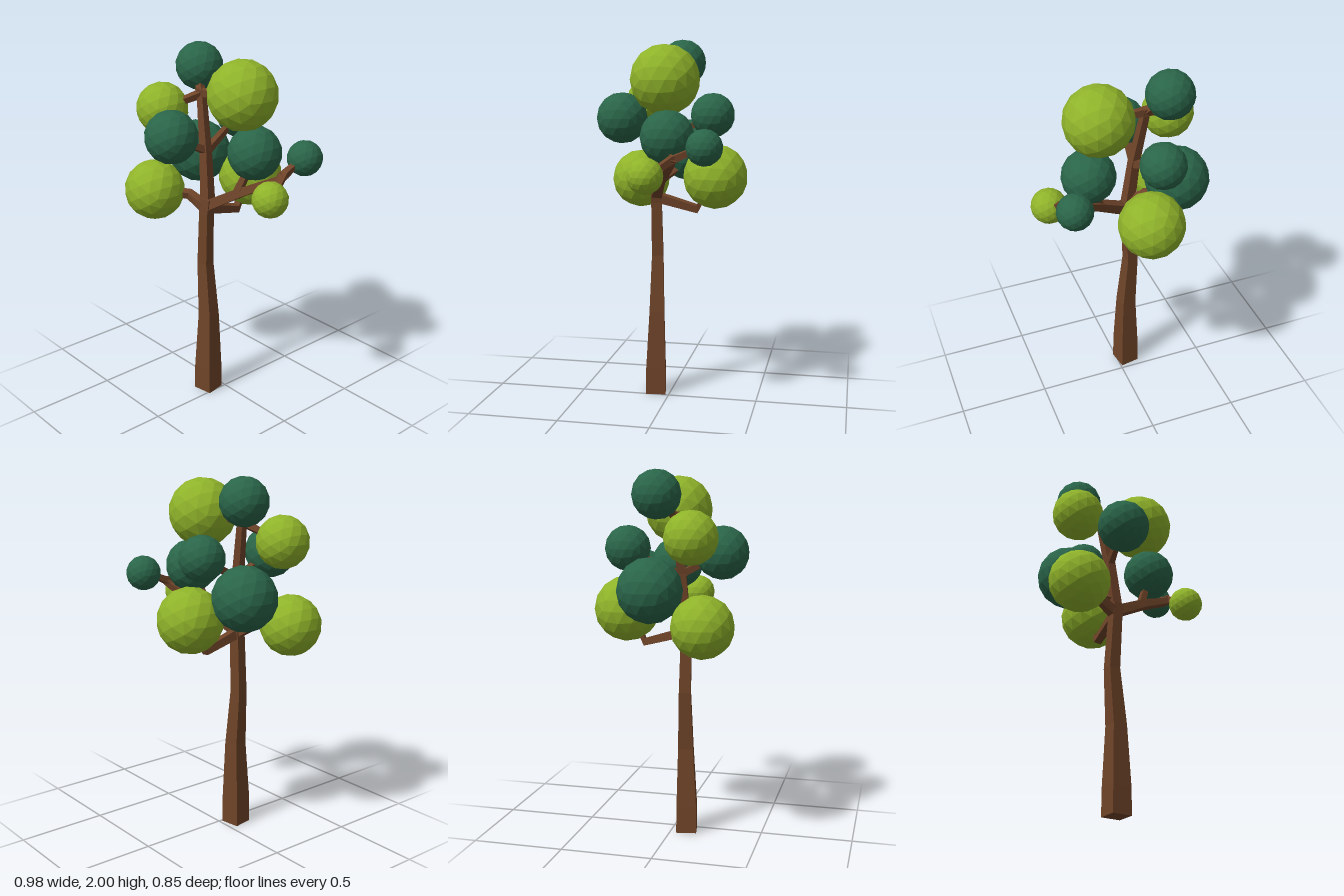
import * as THREE from 'three';

const bark = new THREE.MeshStandardMaterial({ color: 0x6f4429, flatShading: true });
const lime = new THREE.MeshStandardMaterial({ color: 0x8fb32a, flatShading: true });
const pine = new THREE.MeshStandardMaterial({ color: 0x2a6549, flatShading: true });
const UP = new THREE.Vector3(0, 1, 0);

// Square-section limb swept through rows of [x, y, z, radius]
function limb(name, rows, upright = false) {
  const n = rows.length - 1;
  const pts = rows.map(([x, y, z]) => new THREE.Vector3(x, y, z));
  const turns = pts.map((p, i) => {
    const t = pts[Math.min(i + 1, n)].clone().sub(pts[Math.max(i - 1, 0)]).normalize();
    return new THREE.Quaternion().setFromUnitVectors(UP, upright ? UP : t);
  });
  const geo = new THREE.CylinderGeometry(1, 1, 1, 4, n).rotateY(THREE.MathUtils.degToRad(55));
  const pos = geo.attributes.position;
  const v = new THREE.Vector3();
  for (let k = 0; k < pos.count; k++) {
    const i = Math.round((pos.getY(k) + 0.5) * n);
    v.set(pos.getX(k), 0, pos.getZ(k)).multiplyScalar(rows[i][3]);
    v.applyQuaternion(turns[i]).add(pts[i]);
    pos.setXYZ(k, v.x, v.y, v.z);
  }
  const flat = geo.toNonIndexed();
  flat.computeVertexNormals();
  const mesh = new THREE.Mesh(flat, bark);
  mesh.name = name;
  return mesh;
}

// Faceted ball of leaves
function foliage(name, material, x, y, z, r) {
  const mesh = new THREE.Mesh(new THREE.IcosahedronGeometry(r, 2), material);
  mesh.position.set(x, y, z);
  mesh.name = name;
  return mesh;
}

export function createModel() {
  const tree = new THREE.Group();
  tree.name = 'tree';

  // Trunk and the central leader
  tree.add(limb('trunk', [
    [-0.053, 0, 0.083, 0.079], [-0.053, 0.15, 0.083, 0.077], [-0.053, 0.48, 0.077, 0.058],
    [-0.078, 0.8, 0.077, 0.045], [-0.062, 1.1, 0.08, 0.041], [-0.053, 1.19, 0.075, 0.046],
  ], true));
  tree.add(limb('leader', [
    [-0.055, 1.14, 0.075, 0.042], [-0.088, 1.45, 0.06, 0.034],
    [-0.14, 1.74, 0.04, 0.027], [-0.146, 1.775, 0.04, 0.032],
  ], true));

  // Main branches leaving the fork
  tree.add(limb('leftBranch', [
    [-0.05, 1.15, 0.075, 0.04], [0.14, 1.26, 0.01, 0.034], [0.33, 1.36, -0.08, 0.027], [0.355, 1.39, -0.095, 0.03],
  ]));
  tree.add(limb('rightFrontBranch', [[-0.06, 1.13, 0.08, 0.038], [-0.17, 1.19, 0.11, 0.03], [-0.3, 1.2, 0.2, 0.025]]));
  tree.add(limb('backBranch', [
    [-0.06, 1.13, 0.07, 0.036], [-0.07, 1.07, -0.15, 0.03], [-0.07, 1.16, -0.19, 0.024],
  ]));
  tree.add(limb('rightBackBranch', [[-0.07, 1.22, 0.07, 0.03], [-0.16, 1.27, 0, 0.026], [-0.26, 1.35, -0.06, 0.022]]));

  // Twigs from the leader, its top and the left branch
  const twigs = [
    ['frontTwig', [-0.088, 1.45, 0.06], [-0.098, 1.52, 0.2]],
    ['rearTwig', [-0.09, 1.44, 0.06], [-0.13, 1.55, -0.16]],
    ['crownTwig', [-0.145, 1.75, 0.04], [-0.21, 1.82, 0]],
    ['crownLeftTwig', [-0.15, 1.755, 0.04], [0.05, 1.765, 0.02]],
    ['crownRightTwig', [-0.14, 1.75, 0.04], [-0.27, 1.68, 0.13]],
    ['innerTwig', [0.12, 1.25, 0.02], [0.18, 1.42, -0.02]],
    ['outerRearTwig', [0.345, 1.375, -0.08], [0.345, 1.43, -0.2]],
    ['outerFrontTwig', [0.345, 1.39, -0.1], [0.385, 1.32, 0]],
  ];
  for (const [name, a, b] of twigs) tree.add(limb(name, [[...a, 0.028], [...b, 0.02]]));

  // Leaf clusters
  const clusters = [
    ['crownFoliage', pine, -0.246, 1.87, -0.035, 0.13],
    ['crownLeftFoliage', lime, 0.128, 1.782, -0.008, 0.187],
    ['crownRightFoliage', lime, -0.322, 1.655, 0.165, 0.142],
    ['frontFoliage', pine, -0.098, 1.567, 0.283, 0.143],
    ['rearFoliage', pine, -0.137, 1.585, -0.223, 0.123],
    ['rightBackFoliage', pine, -0.287, 1.378, -0.062, 0.175],
    ['rightFrontFoliage', lime, -0.328, 1.203, 0.228, 0.167],
    ['backFoliage', lime, -0.07, 1.252, -0.25, 0.179],
    ['innerFoliage', pine, 0.197, 1.485, -0.033, 0.145],
    ['outerRearFoliage', pine, 0.346, 1.445, -0.255, 0.096],
    ['outerFrontFoliage', lime, 0.396, 1.3, 0.042, 0.096],
  ];
  for (const c of clusters) tree.add(foliage(...c));

  return tree;
}
